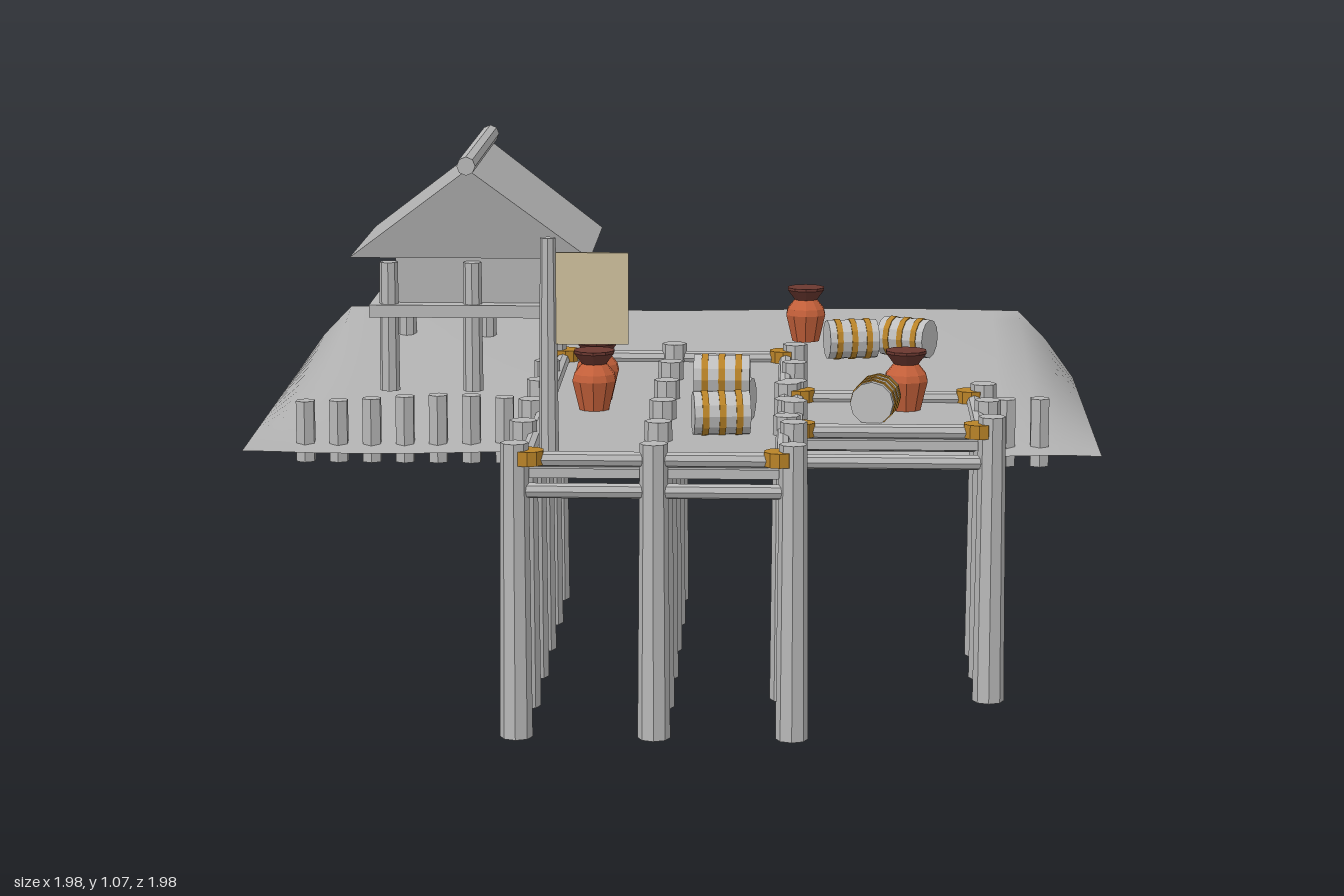
import * as THREE from 'three';

const mat = (name, color, extra = {}) => {
  const m = new THREE.MeshStandardMaterial({ color, ...extra });
  m.name = name;
  return m;
};

export function createModel() {
  const root = new THREE.Group();
  root.name = 'fishingDock';
  const wood = mat('greyWood', 0xb8b8b8);
  const deckGrey = mat('deckGrey', 0xb2b2b2);
  const earth = mat('earthGrey', 0xb0b0b0, { side: THREE.DoubleSide });
  const thatch = mat('roofGrey', 0xb0b0b0);
  const straw = mat('baleGrey', 0xc0c0c0);
  const rope = mat('ropeGold', 0xb98328);
  const clay = mat('terracotta', 0xc4603a);
  const darkClay = mat('darkClay', 0x6b3830);
  const cloth = mat('cloth', 0xcdbf9c, { side: THREE.DoubleSide });

  const add = (name, geo, material, x = 0, y = 0, z = 0, parent = root) => {
    const m = new THREE.Mesh(geo, material);
    m.name = name;
    m.position.set(x, y, z);
    parent.add(m);
    return m;
  };
  const flat = (geo) => {
    const g = geo.index ? geo.toNonIndexed() : geo;
    g.computeVertexNormals();
    return g;
  };
  const box = (name, m, x0, x1, y0, y1, z0, z1) =>
    add(name, new THREE.BoxGeometry(x1 - x0, y1 - y0, z1 - z0), m,
      (x0 + x1) / 2, (y0 + y1) / 2, (z0 + z1) / 2);
  const post = (name, x, z, y0, y1, rTop, rBottom = rTop, sides = 8) =>
    add(name, flat(new THREE.CylinderGeometry(rTop, rBottom, y1 - y0, sides)), wood, x, (y0 + y1) / 2, z);
  const log = (name, x0, x1, y, z0, z1, r) => {
    const along = Math.abs(x1 - x0) > Math.abs(z1 - z0);
    const g = new THREE.CylinderGeometry(r, r, along ? x1 - x0 : z1 - z0, 8);
    if (along) g.rotateZ(Math.PI / 2); else g.rotateX(Math.PI / 2);
    return add(name, flat(g), wood, (x0 + x1) / 2, y, (z0 + z1) / 2);
  };

  // Sloping bank: rises to the back and falls away at both sides
  const bank = new THREE.PlaneGeometry(1.98, 0.98, 28, 14).rotateX(-Math.PI / 2);
  const p = bank.attributes.position;
  for (let i = 0; i < p.count; i++) {
    const x = p.getX(i), z = p.getZ(i) - 0.5, t = -z;
    const s = Math.min(1, Math.max(0, (0.99 - Math.abs(x)) / 0.14)) ** 0.8;
    p.setXYZ(i, x, 0.41 + 0.015 * t + s * (0.172 * t + 0.006 * Math.sin(x * 5 + 2) * Math.cos(z * 4)), z);
  }
  bank.computeVertexNormals();
  add('bank', bank, earth);

  // Row of short stakes along the shore
  for (let i = -11; i <= 11; i++) {
    post('shoreStake', i * 0.0773, -0.08, 0.375, 0.525 + 0.008 * Math.sin(i * 7), 0.024, 0.024, 6);
  }

  // A pier: planks, deck, edge rails, beams, corner ropes and posts
  function pier(x0, x1, zs, xs) {
    const z0 = zs[0], z1 = zs[zs.length - 1];
    box('deck', deckGrey, x0, x1, 0.565, 0.578, z0, z1);
    const n = Math.round((z1 - z0) / 0.07), step = (z1 - z0) / n;
    for (let i = 0; i < n; i++) {
      const z = z0 + (i + 0.5) * step, j = 0.004 * Math.sin(i * 5);
      box('plank', wood, x0 - 0.008 + j, x1 + 0.008 + j, 0.545, 0.565, z - step * 0.43, z + step * 0.43);
    }
    for (const x of [x0 + 0.022, x1 - 0.022]) log('sideRail', x, x, 0.582, z0, z1, 0.016);
    for (const z of [z0, z1]) log('endRail', x0, x1, 0.586, z, z, 0.016);
    for (const x of xs) log('stringer', x, x, 0.53, z0, z1, 0.017);
    for (const z of zs) {
      log('crossBeam', x0, x1, 0.52, z, z, 0.016);
      for (const x of xs) post('pierPost', x, z, 0, 0.62, 0.029, 0.034);
    }
    for (const [x, d] of [[x0, 1], [x1, -1]]) for (const z of [z0, z1]) {
      add('ropeBinding', flat(new THREE.CylinderGeometry(0.033, 0.033, 0.03, 10)), rope, x + d * 0.028, 0.59, z);
    }
  }
  pier(-0.285, 0.285, [-0.3, -0.05, 0.2, 0.45, 0.705, 0.957], [-0.285, 0, 0.285]);
  pier(0.27, 0.705, [0.225, 0.43, 0.63], [0.27, 0.705]);

  // Hut on stilts
  for (const x of [-0.685, -0.485, -0.29]) {
    for (const z of [-0.38, -0.79]) post('hutPost', x, z, 0.49, 0.8, 0.022, 0.024);
  }
  box('hutFloor', wood, -0.73, -0.24, 0.67, 0.7, -0.82, -0.35);
  box('hutWall', deckGrey, -0.67, -0.305, 0.7, 0.83, -0.775, -0.395);

  // Gabled roof whose ridge overhangs the eaves
  const tri = new THREE.Shape([[-0.285, 0], [0.285, 0], [0, 0.215]].map((v) => new THREE.Vector2(...v)));
  const roof = new THREE.ExtrudeGeometry(tri, { depth: 1, bevelEnabled: false });
  const rp = roof.attributes.position;
  for (let i = 0; i < rp.count; i++) {
    const half = rp.getY(i) > 0.1 ? 0.318 : 0.28;
    rp.setZ(i, rp.getZ(i) > 0.5 ? half : -half);
  }
  add('roof', flat(roof), thatch, -0.485, 0.82, -0.585);
  log('ridgePole', -0.485, -0.485, 1.047, -0.935, -0.23, 0.022);

  // Flag on a pole
  post('flagPole', -0.22, 0.87, 0.57, 1.03, 0.016, 0.021);
  box('flag', cloth, -0.204, -0.055, 0.81, 1.0, 0.866, 0.875);

  // Clay pots with dark flared necks
  const lathe = (pts) => flat(new THREE.LatheGeometry(pts.map((v) => new THREE.Vector2(...v)), 10));
  const potBody = lathe([[0, 0], [0.034, 0], [0.05, 0.065], [0.046, 0.08], [0.028, 0.102]]);
  const potNeck = lathe([[0.028, 0.102], [0.046, 0.126], [0.046, 0.132], [0, 0.132]]);
  for (const [x, y, z] of [[-0.155, 0.578, 0.21], [-0.155, 0.578, 0.34], [0.53, 0.578, 0.32], [0.31, 0.575, -0.63]]) {
    const g = new THREE.Group();
    g.name = 'pot';
    g.position.set(x, y, z);
    add('potBody', potBody, clay, 0, 0, 0, g);
    add('potNeck', potNeck, darkClay, 0, 0, 0, g);
    root.add(g);
  }

  // Round bales lying on their sides, tied with three ropes
  const baleGeo = flat(new THREE.CylinderGeometry(0.047, 0.047, 0.12, 12).rotateZ(Math.PI / 2));
  const bandGeo = flat(new THREE.CylinderGeometry(0.0495, 0.0495, 0.014, 12).rotateZ(Math.PI / 2));
  const bales = [
    [0.135, 0.622, 0.44, -0.2], [0.13, 0.685, 0.53, 0], [0.13, 0.622, 0.62, 0.12],
    [0.462, 0.62, 0.43, -1.74], [0.42, 0.602, -0.49, 0.2], [0.555, 0.602, -0.52, -0.46],
  ];
  for (const [x, y, z, turn] of bales) {
    const g = new THREE.Group();
    g.name = 'bale';
    g.position.set(x, y, z);
    g.rotation.y = turn;
    add('baleBody', baleGeo, straw, 0, 0, 0, g);
    for (const d of [-0.036, 0, 0.036]) add('baleRope', bandGeo, rope, d, 0, 0, g);
    root.add(g);
  }
  return root;
}
